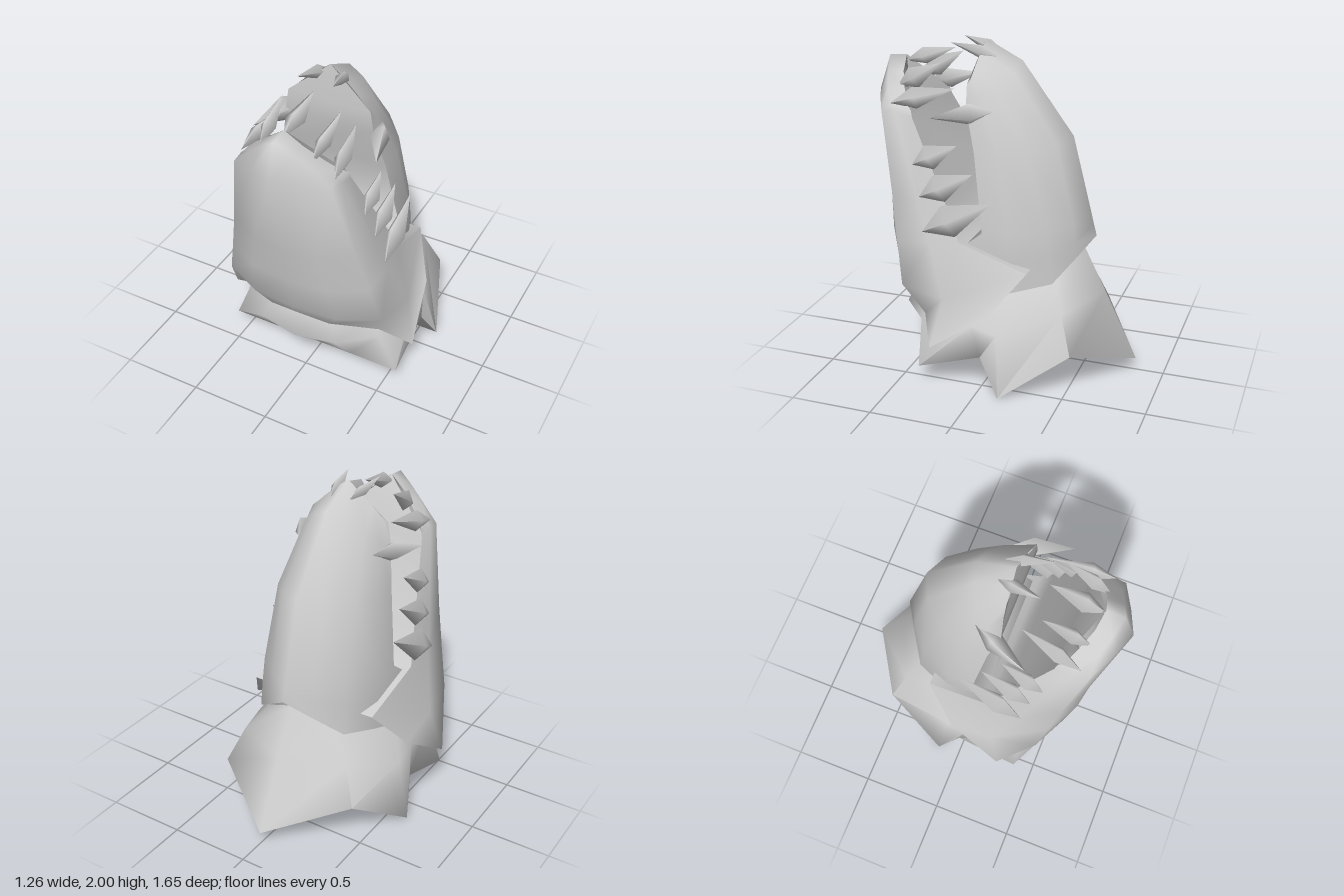
import * as THREE from 'three';
import { toCreasedNormals, mergeVertices } from 'three/addons/utils/BufferGeometryUtils.js';

const grey = new THREE.MeshStandardMaterial({ color: 0xcccccc, side: THREE.DoubleSide });
grey.name = 'grey';

// Skin over rows of half cross-sections, each mirrored across x = 0.
function skin(name, rows, flip = false) {
  const full = rows.map(row => [
    ...row.slice().reverse().map(([x, y, z]) => [-x, y, z]), ...row,
  ]);
  const n = full[0].length;
  const index = [];
  for (let r = 0; r < full.length - 1; r++) {
    for (let c = 0; c < n - 1; c++) {
      const a = r * n + c, b = a + n, d = a + 1, e = b + 1;
      if (flip) index.push(a, d, b, b, d, e);
      else index.push(a, b, d, b, e, d);
    }
  }
  let geo = new THREE.BufferGeometry();
  geo.setAttribute('position', new THREE.Float32BufferAttribute(full.flat(2), 3));
  geo.setIndex(index);
  geo = mergeVertices(geo);
  // drop triangles that collapsed on the centre line
  const kept = [], ix = geo.index.array;
  for (let i = 0; i < ix.length; i += 3) {
    const [a, b, c] = [ix[i], ix[i + 1], ix[i + 2]];
    if (a !== b && b !== c && a !== c) kept.push(a, b, c);
  }
  geo.setIndex(kept);
  const mesh = new THREE.Mesh(toCreasedNormals(geo, 1.75), grey);
  mesh.name = name;
  return mesh;
}

// Four-sided double-pointed tooth from base to tip.
const toothGeo = new THREE.LatheGeometry(
  [new THREE.Vector2(0, 0), new THREE.Vector2(1, 0.38), new THREE.Vector2(0, 1)], 4);

function tooth(name, base, tip, wx, wy) {
  const a = new THREE.Vector3(...base);
  const dir = new THREE.Vector3(...tip).sub(a);
  const mesh = new THREE.Mesh(toothGeo, grey);
  mesh.name = name;
  mesh.position.copy(a);
  mesh.scale.set(wx, dir.length(), wy);
  mesh.quaternion.setFromUnitVectors(new THREE.Vector3(0, 1, 0), dir.normalize());
  return mesh;
}

export function createModel() {
  const model = new THREE.Group();
  model.name = 'openJawedHead';

  // Front jaw: rows run from the tip down to the flared hinge
  model.add(skin('frontJaw', [
    [[0, 1.87, .65], [.1, 1.79, .63], [.2, 1.7, .58], [.27, 1.64, .54], [.3, 1.61, .5]],
    [[0, 1.86, .76], [.1, 1.79, .73], [.2, 1.7, .69], [.28, 1.63, .62], [.3, 1.61, .5]],
    [[0, 1.655, .83], [.14, 1.64, .77], [.3, 1.6, .69], [.31, 1.6, .6], [.31, 1.57, .49]],
    [[0, 1.1, .73], [.2, 1.1, .69], [.4, 1.1, .59], [.425, 1.1, .42], [.41, 1.1, .25]],
    [[0, .85, .685], [.25, .85, .66], [.455, .85, .545], [.475, .87, .33], [.45, .885, .155]],
    [[0, .61, .64], [.28, .6, .61], [.515, .6, .495], [.56, .56, .22], [.42, .73, -.25]],
    [[0, .51, .58], [.2, .48, .55], [.45, .4, .38], [.63, .27, .28], [.56, .49, -.06]],
  ]));
  model.add(skin('mouthFloor', [
    [[0, 1.87, .65]], [[.3, 1.61, .5]], [[.31, 1.57, .49]], [[.41, 1.1, .25]],
    [[.45, .885, .155]], [[.42, .73, -.25]],
  ], true));

  // Back jaw with its ridge along the centre
  model.add(skin('skull', [
    [[0, 2, .14], [.09, 1.93, .145], [.17, 1.86, .15], [.22, 1.81, .155], [.26, 1.78, .165]],
    [[0, 1.885, -.085], [.1, 1.84, -.06], [.2, 1.76, 0], [.26, 1.7, .08], [.28, 1.65, .165]],
    [[0, 1.46, -.4], [.14, 1.44, -.34], [.27, 1.4, -.2], [.33, 1.4, -.05], [.33, 1.4, .1]],
    [[0, 1, -.518], [.15, .96, -.45], [.29, .95, -.33], [.39, .95, -.13], [.4, .94, .03]],
    [[0, .93, -.535], [.15, .85, -.46], [.3, .8, -.345], [.39, .78, -.14], [.41, .86, .13]],
    [[0, .855, -.555], [.15, .745, -.465], [.3, .635, -.37], [.38, .58, -.15], [.42, .535, .02]],
  ], true));
  model.add(skin('palate', [
    [[0, 2, .14]], [[.26, 1.78, .165]], [[.28, 1.65, .165]], [[.33, 1.4, .1]],
    [[.4, .94, .03]], [[.41, .86, .13]], [[.42, .535, .02]],
  ]));

  // Neck: underside centre line, zigzag hem, then rings up to the jaws;
  // each row runs from back centre round to front centre
  const hem = [[0, .075, -.825], [.46, .26, -.53], [.62, 0, -.14], [.56, .22, -.01],
    [.57, .1, .38], [.25, .1, .38], [0, .1, .38]];
  model.add(skin('neck', [
    hem.map(([, y, z]) => [0, y, z]),
    hem,
    [[0, .5, -.62], [.37, .48, -.45], [.53, .36, -.1], [.53, .4, .05],
      [.46, .36, .4], [.25, .365, .58], [0, .365, .63]],
    [[0, .79, -.475], [.23, .66, -.37], [.36, .56, -.1], [.42, .54, .05],
      [.4, .45, .33], [.2, .5, .52], [0, .52, .56]],
  ]));

  // Teeth: base, tip, half width, half height
  const pairs = [
    ['jawTooth', [.475, .935, .375], [.43, 1.14, -.04], .06, .1],
    ['jawTooth', [.425, 1.13, .41], [.39, 1.29, .09], .055, .085],
    ['jawTooth', [.385, 1.31, .465], [.35, 1.44, .2], .05, .075],
    ['jawTooth', [.29, 1.64, .635], [.22, 1.74, .26], .05, .065],
    ['jawTooth', [.16, 1.71, .645], [.18, 1.875, .355], .045, .065],
    ['skullTooth', [.25, 1.635, 0], [.39, 1.6, .35], .06, .075],
    ['skullTooth', [.06, 1.91, .05], [.11, 1.985, .32], .04, .04],
  ];
  for (const [name, base, tip, wx, wy] of pairs) {
    for (const s of [1, -1]) {
      model.add(tooth(name + (s > 0 ? 'Left' : 'Right'),
        [base[0] * s, base[1], base[2]], [tip[0] * s, tip[1], tip[2]], wx, wy));
    }
  }
  model.add(tooth('jawToothCentre', [0, 1.83, .66], [0, 1.935, .33], .06, .05));
  return model;
}
